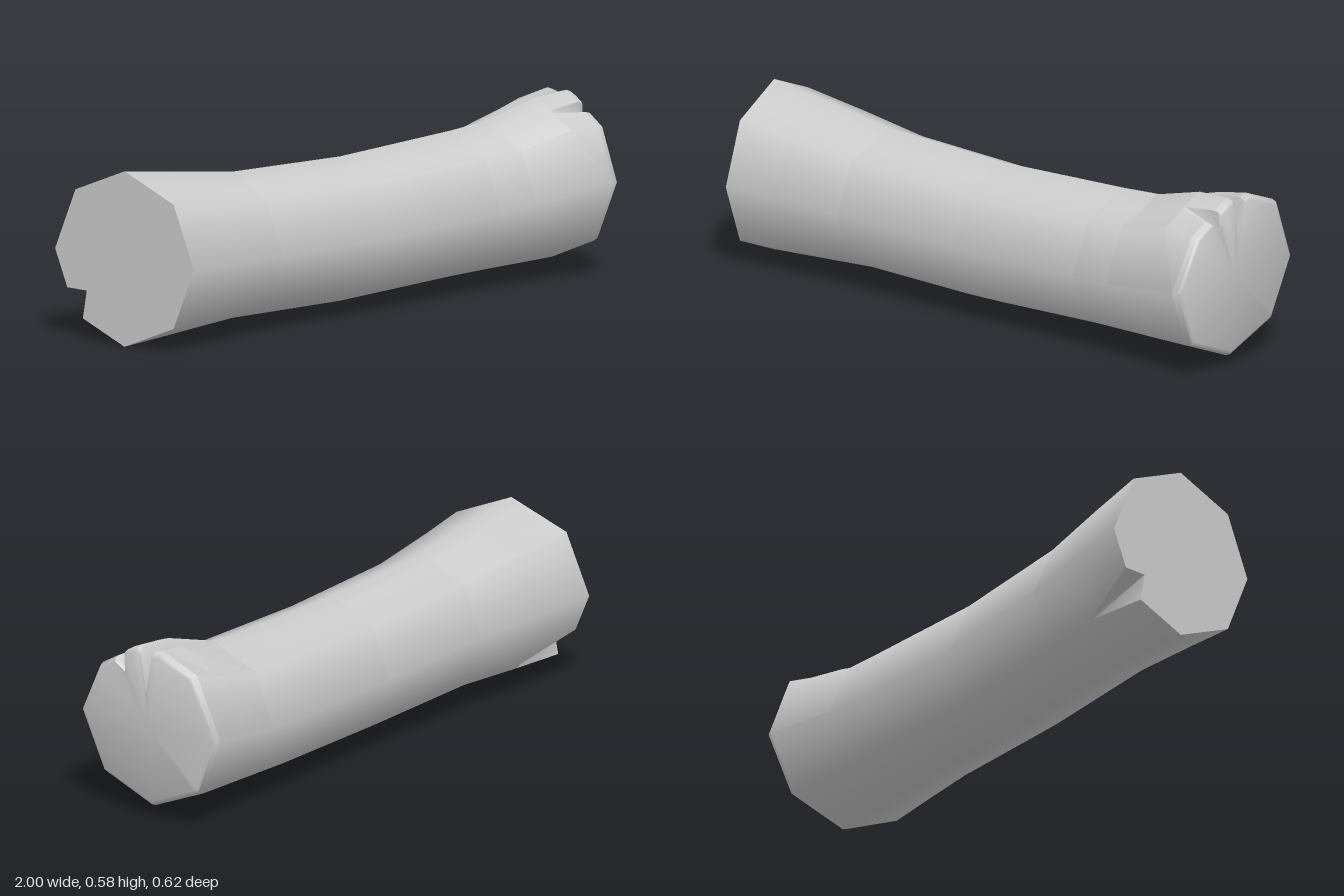
import * as THREE from 'three';
import { toCreasedNormals } from 'three/addons/utils/BufferGeometryUtils.js';

// trunk cross-sections: x, centre z, radius z, centre y, radius y
const stations = [
  [-0.95, 0.025, 0.285, 0.288, 0.288],
  [-0.48, 0.012, 0.243, 0.27, 0.24],
  [0, -0.002, 0.237, 0.258, 0.237],
  [0.5, -0.03, 0.245, 0.27, 0.239],
  [0.65, -0.03, 0.252, 0.277, 0.243],
  [0.96, -0.03, 0.28, 0.317, 0.28],
];

function section(x) {
  const cx = THREE.MathUtils.clamp(x, -0.95, 0.96);
  let i = 0;
  while (i < stations.length - 2 && cx > stations[i + 1][0]) i++;
  const a = stations[i], b = stations[i + 1];
  const f = (cx - a[0]) / (b[0] - a[0]);
  return a.map((v, k) => v + (b[k] - v) * f);
}

// point on the octagon edge; t = 0 top, 2 front, 4 bottom, 6 back
function onOctagon(s, t) {
  const k = Math.floor(t), f = t - k;
  const corner = (n) => [s[1] + s[2] * Math.sin(n * Math.PI / 4), s[3] + s[4] * Math.cos(n * Math.PI / 4)];
  const a = corner(k), b = corner(k + 1);
  return [a[0] + (b[0] - a[0]) * f, a[1] + (b[1] - a[1]) * f];
}

// points round the log: [t, t where the split closes]
const around = [
  [0, 0], [0.06, 0.01], [0.15, 0.03], [0.3, 0.3], [0.45, 0.45], [0.55, 0.55], [0.7, 0.7],
  [1, 1], [2, 2], [3, 3], [4, 4], [4.85, 4.97], [5, 5], [5.4, 5.05], [6, 6], [7, 7],
  [7.72, 7.72], [7.88, 7.97],
];

// [z, y] of the split edges, by index in the list above
const splitStart = {
  0: [-0.035, 0.51], 1: [-0.02, 0.562], 2: [-0.008, 0.576], 3: [0.03, 0.562], 4: [0.068, 0.544],
  5: [0.075, 0.536], 6: [0.085, 0.53], 16: [-0.1, 0.553], 17: [-0.053, 0.558],
};
const splitEnd = {
  0: [-0.03, 0.44], 1: [-0.015, 0.568], 2: [0, 0.585], 3: [0.03, 0.573], 4: [0.06, 0.555],
  5: [0.06, 0.5], 6: [0.1, 0.527], 7: [0.165, 0.49], 15: [-0.225, 0.525],
  16: [-0.09, 0.58], 17: [-0.06, 0.574],
};
const lowerSplit = { 12: [-0.13, 0.165] };

function outline(x, closed, edits = {}) {
  const s = section(x);
  return around.map(([open, shut], i) => {
    const isLower = i >= 11 && i <= 13;
    const t = closed || (isLower && x > 0) ? shut : open;
    return edits[i] || onOctagon(s, t);
  });
}

function createLogGeometry() {
  const rings = [];
  // slanted left end with its split
  rings.push(outline(-0.95, false, lowerSplit).map(([z, y]) =>
    [-1 + 0.09 * (z + 0.26) / 0.57, y, z]));
  // body
  for (const x of [-0.74, -0.48, -0.24, 0, 0.25, 0.5, 0.65]) {
    rings.push(outline(x, true).map(([z, y]) => [x, y, z]));
  }
  rings.push(outline(0.85, false, splitStart).map(([z, y]) => [0.85, y, z]));
  // bevelled right end
  const end = outline(0.96, false, splitEnd);
  const endX = (y) => 0.966 + 0.034 * (y - 0.04) / 0.545;
  for (const [back, scale] of [[0.026, 1], [0.007, 0.975], [0, 0.93]]) {
    rings.push(end.map(([z, y]) =>
      [endX(y) - back, 0.315 + (y - 0.315) * scale, -0.03 + (z + 0.03) * scale]));
  }

  const n = around.length, index = [];
  const positions = rings.flat(2);
  for (let i = 0; i < rings.length - 1; i++) {
    for (let j = 0; j < n; j++) {
      const a = i * n + j, b = i * n + (j + 1) % n;
      index.push(a, b, b + n, a, b + n, a + n);
    }
  }
  // end caps
  const left = positions.length / 3, right = left + 1, last = (rings.length - 1) * n;
  positions.push(-1 + 0.09 * 0.285 / 0.57, 0.288, 0.025, endX(0.315), 0.315, -0.03);
  for (let j = 0; j < n; j++) {
    const k = (j + 1) % n;
    index.push(left, k, j, right, last + j, last + k);
  }
  const geometry = new THREE.BufferGeometry();
  geometry.setAttribute('position', new THREE.Float32BufferAttribute(positions, 3));
  geometry.setIndex(index);
  return roundNormals(toCreasedNormals(geometry, 0.9));
}

// smooth the bark round the trunk, leaving splits and ends creased
function roundNormals(geometry) {
  const p = geometry.attributes.position, nor = geometry.attributes.normal;
  const v = [0, 1, 2].map(() => new THREE.Vector3());
  const face = new THREE.Vector3(), radial = new THREE.Vector3();
  const tri = new THREE.Triangle();
  for (let i = 0; i < p.count; i += 3) {
    v.forEach((q, k) => q.fromBufferAttribute(p, i + k));
    tri.set(...v).getNormal(face);
    v.forEach((q, k) => {
      const s = section(q.x);
      radial.set(0, q.y - s[3], q.z - s[1]).normalize();
      if (face.dot(radial) < 0.85) return;
      radial.x = face.x;
      radial.normalize();
      nor.setXYZ(i + k, radial.x, radial.y, radial.z);
    });
  }
  return geometry;
}

export function createModel() {
  const group = new THREE.Group();
  group.name = 'log';
  const material = new THREE.MeshStandardMaterial({ color: 0xcccccc });
  material.name = 'pale grey';
  const trunk = new THREE.Mesh(createLogGeometry(), material);
  trunk.name = 'splitLogTrunk';
  group.add(trunk);
  return group;
}
